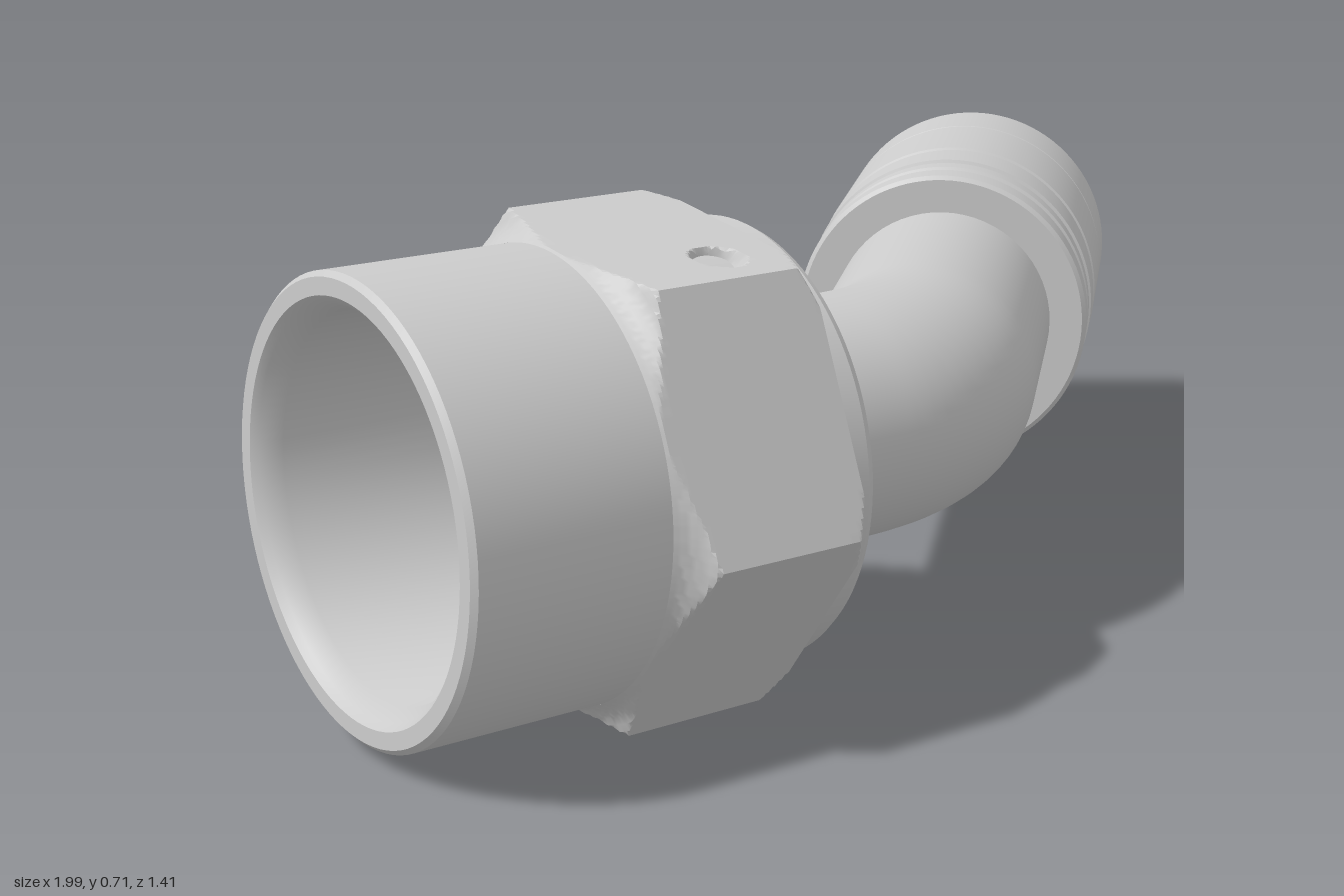
import * as THREE from 'three';
import { toCreasedNormals } from 'three/addons/utils/BufferGeometryUtils.js';

const AXIS_Y = 0.36, NUT_Z = 0.33;
const material = new THREE.MeshStandardMaterial({ color: 0xcccccc, side: THREE.DoubleSide });

function part(name, geometry, crease = 0.5) {
  const mesh = new THREE.Mesh(toCreasedNormals(geometry, crease), material);
  mesh.name = name;
  return mesh;
}

// Turned part along x; the profile is a list of [x, radius]
function turned(name, profile) {
  const geo = new THREE.LatheGeometry(profile.map(([x, r]) => new THREE.Vector2(r, x)), 96);
  return part(name, geo.rotateZ(-Math.PI / 2));
}

// Hexagon trimmed by a turned envelope, with a drilled dimple on one flat
function hexGeometry() {
  const segs = 360, apothem = 0.33, start = -7.7 * Math.PI / 180;
  const envelope = [[-0.7, 0.328], [-0.685, 0.336], [-0.67, 0.352], [-0.655, 0.385], [-0.43, 0.385], [-0.405, 0.355]];
  const limit = (x) => {
    const i = Math.max(1, envelope.findIndex((e) => x <= e[0] + 1e-6));
    const [x0, r0] = envelope[i - 1], [x1, r1] = envelope[i];
    return THREE.MathUtils.mapLinear(x, x0, x1, r0, r1);
  };
  const rows = [];
  for (let i = 0; i <= 59; i++) rows.push(-0.7 + i * 0.005);
  rows.push(-0.405);
  const pos = [], idx = [];
  const dimpleAngle = 64.5 * Math.PI / 180;
  rows.forEach((x, i) => {
    for (let j = 0; j < segs; j++) {
      const a = (j / segs) * Math.PI * 2, t = start + a;
      const hex = apothem / Math.cos((a % (Math.PI / 3)) - Math.PI / 6);
      let r = Math.min(hex, limit(x));
      const d = Math.hypot(x + 0.5, (t - dimpleAngle) * 0.35);
      if (d < 0.04) r -= Math.min(0.03, (0.04 - d) * 2.5);
      // The last row closes the front face down to the bead
      if (i === rows.length - 1) r = 0.29;
      pos.push(x, r * Math.sin(t), r * Math.cos(t));
      if (i === rows.length - 1) continue;
      const p = i * segs + j, q = i * segs + (j + 1) % segs;
      idx.push(p, p + segs, q, q, p + segs, q + segs);
    }
  });
  const geo = new THREE.BufferGeometry();
  geo.setAttribute('position', new THREE.Float32BufferAttribute(pos, 3));
  geo.setIndex(idx);
  return geo;
}

// Straight run, 45 degree bend, straight run
function tubePath() {
  const R = 0.335, x0 = -0.178, k = Math.SQRT1_2;
  const path = new THREE.CurvePath();
  const at = (x, z) => new THREE.Vector3(x, AXIS_Y, z);
  const arc = [];
  for (let i = 0; i <= 16; i++) {
    const a = (i / 16) * Math.PI / 4;
    arc.push(at(x0 + R * Math.sin(a), NUT_Z - R * (1 - Math.cos(a))));
  }
  path.add(new THREE.LineCurve3(at(-0.6, NUT_Z), arc[0]));
  for (let i = 0; i < 16; i++) path.add(new THREE.LineCurve3(arc[i], arc[i + 1]));
  const end = arc[16];
  path.add(new THREE.LineCurve3(end, at(end.x + 0.6 * k, end.z - 0.6 * k)));
  return path;
}

export function createModel() {
  const model = new THREE.Group();
  model.name = 'angledHoseFitting';

  // Swivel nut: collar with bore, hexagon and front bead
  const nut = new THREE.Group();
  nut.name = 'swivelNut';
  nut.position.set(0, AXIS_Y, NUT_Z);
  nut.add(turned('nutCollar', [
    [-0.99, 0.285], [-1, 0.295], [-1, 0.32], [-0.992, 0.328], [-0.69, 0.328], [-0.42, 0.325],
    [-0.375, 0.328], [-0.364, 0.322], [-0.36, 0.31], [-0.36, 0.287], [-0.37, 0.27],
    [-0.96, 0.27], [-0.99, 0.285],
  ]));
  nut.add(part('nutHexagon', hexGeometry(), 0.35));
  // Cone-nosed seat held inside the nut
  nut.add(turned('tubeSeat', [
    [-0.68, 0.14], [-0.68, 0.19], [-0.52, 0.262], [-0.385, 0.262], [-0.375, 0.255],
    [-0.375, 0.205], [-0.365, 0.187], [-0.365, 0.14], [-0.68, 0.14],
  ]));
  model.add(nut);

  // Bent tube and its bore
  const path = tubePath();
  model.add(part('bentTube', new THREE.TubeGeometry(path, 160, 0.187, 64, false)));
  model.add(part('tubeBore', new THREE.TubeGeometry(path, 160, 0.14, 48, false)));

  // Crimp sleeve and hose insert, measured from the sleeve's closed end
  const hoseEnd = new THREE.Group();
  hoseEnd.name = 'hoseEnd';
  hoseEnd.position.set(0.35, AXIS_Y, -0.06);
  hoseEnd.rotation.y = Math.PI / 4;
  hoseEnd.add(turned('crimpSleeve', [
    [0, 0.165], [0, 0.243], [0.006, 0.25], [0.06, 0.25], [0.064, 0.243], [0.085, 0.243], [0.09, 0.25],
    [0.128, 0.25], [0.132, 0.244], [0.14, 0.244], [0.144, 0.253], [0.244, 0.253], [0.248, 0.249],
    [0.254, 0.249], [0.258, 0.255], [0.49, 0.255], [0.494, 0.251], [0.498, 0.255], [0.657, 0.255],
    [0.657, 0.245], [0.62, 0.235], [0.14, 0.235], [0.14, 0.165],
  ]));
  hoseEnd.add(turned('hoseInsert', [
    [0.02, 0.14], [0.02, 0.172], [0.6, 0.172], [0.635, 0.166], [0.65, 0.155], [0.652, 0.146],
    [0.645, 0.14], [0.02, 0.14],
  ]));
  model.add(hoseEnd);
  return model;
}
